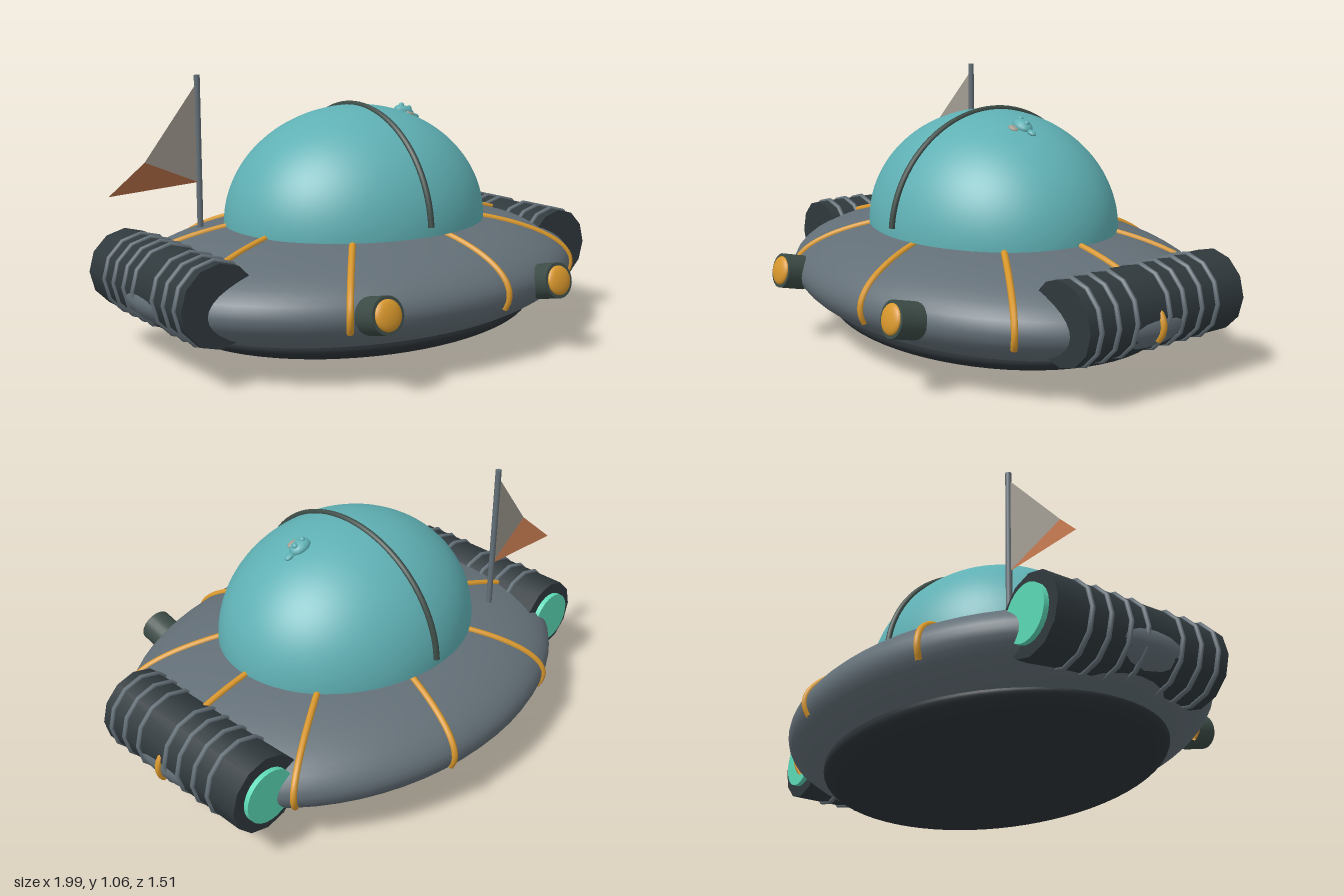
import * as THREE from 'three';

const paint = (name, color, side = THREE.FrontSide) => {
  const m = new THREE.MeshStandardMaterial({ color, side });
  m.name = name;
  return m;
};

export function createModel() {
  const hullGrey = paint('hull grey', 0x636f77);
  const bellyDark = paint('belly dark', 0x2d3439);
  const podDark = paint('pod charcoal', 0x30393d);
  const glass = paint('dome teal', 0x5fb0b4);
  const glow = paint('thruster mint', 0x5cd9b6);
  const gold = paint('gold', 0xd8972c, THREE.DoubleSide);
  const trim = paint('dark green trim', 0x3d4c47, THREE.DoubleSide);
  const beige = paint('sail beige', 0xa39d92, THREE.DoubleSide);
  const rust = paint('sail rust', 0xb9714a, THREE.DoubleSide);

  const model = new THREE.Group();
  model.name = 'saucer';
  model.position.set(-0.005, 0, -0.01);

  const add = (name, geometry, material, pos = [0, 0, 0], parent = model) => {
    const mesh = new THREE.Mesh(geometry, material);
    mesh.name = name;
    mesh.position.set(...pos);
    parent.add(mesh);
    return mesh;
  };
  const ellipsoid = (rx, ry, rz, from = 0, sweep = Math.PI, seg = 64) =>
    new THREE.SphereGeometry(1, seg, seg / 2, 0, Math.PI * 2, from, sweep).scale(rx, ry, rz);
  const tube = (points, radius, seg = 32) =>
    new THREE.TubeGeometry(new THREE.CatmullRomCurve3(points), seg, radius, 8);

  // Saucer body and dome
  const RX = 0.985, RY = 0.245, RZ = 0.74, HULL_Y = 0.28;
  add('hull', ellipsoid(RX, RY, RZ), hullGrey, [0, HULL_Y, 0]);
  add('belly', ellipsoid(0.785, 0.127, 0.607, Math.PI / 2, Math.PI / 2), bellyDark, [0, 0.13, 0]);
  add('bellyRim', new THREE.CylinderGeometry(1, 1, 0.02, 64, 1, true).scale(0.785, 1, 0.607), bellyDark, [0, 0.14, 0]);
  add('dome', ellipsoid(0.55, 0.46, 0.475, 0, Math.PI / 2), glass, [0, 0.48, 0]);

  // Strap arching over the dome from front to back
  const strap = [];
  for (let i = 0; i <= 24; i++) {
    const a = 0.08 + (Math.PI - 0.16) * i / 24;
    strap.push(new THREE.Vector3(0, 0.48 + 0.462 * Math.sin(a), 0.483 * Math.cos(a)));
  }
  add('domeStrap', tube(strap, 0.012, 48), trim);

  // Nine ribs running from the dome over the hull's edge
  for (let k = 0; k < 9; k++) {
    const turn = k * Math.PI * 2 / 9;
    const pts = [];
    for (let i = 0; i <= 12; i++) {
      const a = 1.0 - 1.22 * i / 12;
      pts.push(new THREE.Vector3(
        RX * Math.cos(a) * Math.cos(turn),
        HULL_Y + RY * Math.sin(a),
        RZ * Math.cos(a) * Math.sin(turn)));
    }
    add('hullRib', tube(pts, 0.013), gold);
  }

  for (const side of [-1, 1]) {
    // Side thruster: twelve-sided barrel, rings and glowing outlet
    const pod = new THREE.Group();
    pod.name = side > 0 ? 'leftThruster' : 'rightThruster';
    pod.position.set(side * 0.825, 0.313, 0);
    model.add(pod);
    add('barrel', new THREE.CylinderGeometry(0.155, 0.155, 0.75, 12).rotateX(Math.PI / 2), podDark, [0, 0, -0.04], pod);
    for (const z of [0.285, 0.205, 0.12, -0.035, -0.11, -0.195, -0.275]) {
      add('barrelRing', new THREE.TorusGeometry(0.155, 0.01, 8, 12), hullGrey, [0, 0, z], pod);
    }
    add('outlet', new THREE.CylinderGeometry(0.107, 0.107, 0.03, 24).rotateX(Math.PI / 2), glow, [0, 0, -0.42], pod);

    // Headlight, tipped slightly upward
    const lamp = new THREE.Group();
    lamp.name = side > 0 ? 'leftHeadlight' : 'rightHeadlight';
    lamp.position.set(side * 0.41, 0.295, 0.7);
    lamp.rotation.x = -0.24;
    model.add(lamp);
    add('housing', new THREE.CylinderGeometry(0.069, 0.069, 0.1, 24).rotateX(Math.PI / 2), trim, [0, 0, 0], lamp);
    add('housingBack', ellipsoid(0.069, 0.069, 0.035, 0, Math.PI, 24), trim, [0, 0, -0.05], lamp);
    add('lens', ellipsoid(0.057, 0.057, 0.02, 0, Math.PI, 24), gold, [0, 0, 0.05], lamp);
  }

  // Mast and folded sail
  add('mast', new THREE.CylinderGeometry(0.012, 0.012, 0.625, 10), hullGrey, [-0.55, 0.752, -0.3]);
  const top = [-0.555, 1.03, -0.3], foot = [-0.555, 0.64, -0.3];
  const fold = [-0.805, 0.745, -0.26], tip = [-0.94, 0.62, -0.3];
  const triangle = (...corners) => {
    const g = new THREE.BufferGeometry();
    g.setAttribute('position', new THREE.Float32BufferAttribute(corners.flat(), 3));
    g.computeVertexNormals();
    return g;
  };
  add('upperSail', triangle(top, fold, foot), beige);
  add('lowerSail', triangle(fold, tip, foot), rust);

  // Small fish-shaped ornament resting on the dome
  const fish = new THREE.Group();
  fish.name = 'domeOrnament';
  fish.position.set(0.227, 0.9, 0.025);
  fish.rotation.z = -0.35;
  model.add(fish);
  add('ornamentBody', ellipsoid(0.047, 0.025, 0.035, 0, Math.PI, 16), glass, [0, 0, 0], fish);
  add('ornamentTail', ellipsoid(0.022, 0.01, 0.015, 0, Math.PI, 12), glass, [0.06, 0, 0], fish);
  add('ornamentFin', ellipsoid(0.024, 0.008, 0.018, 0, Math.PI, 12), beige, [0, -0.006, 0.043], fish);
  for (const x of [-0.02, 0.02]) {
    add('ornamentBump', ellipsoid(0.012, 0.012, 0.012, 0, Math.PI, 12), glass, [x, 0.02, 0], fish);
  }

  const root = new THREE.Group();
  root.name = 'model';
  root.add(model);
  return root;
}
